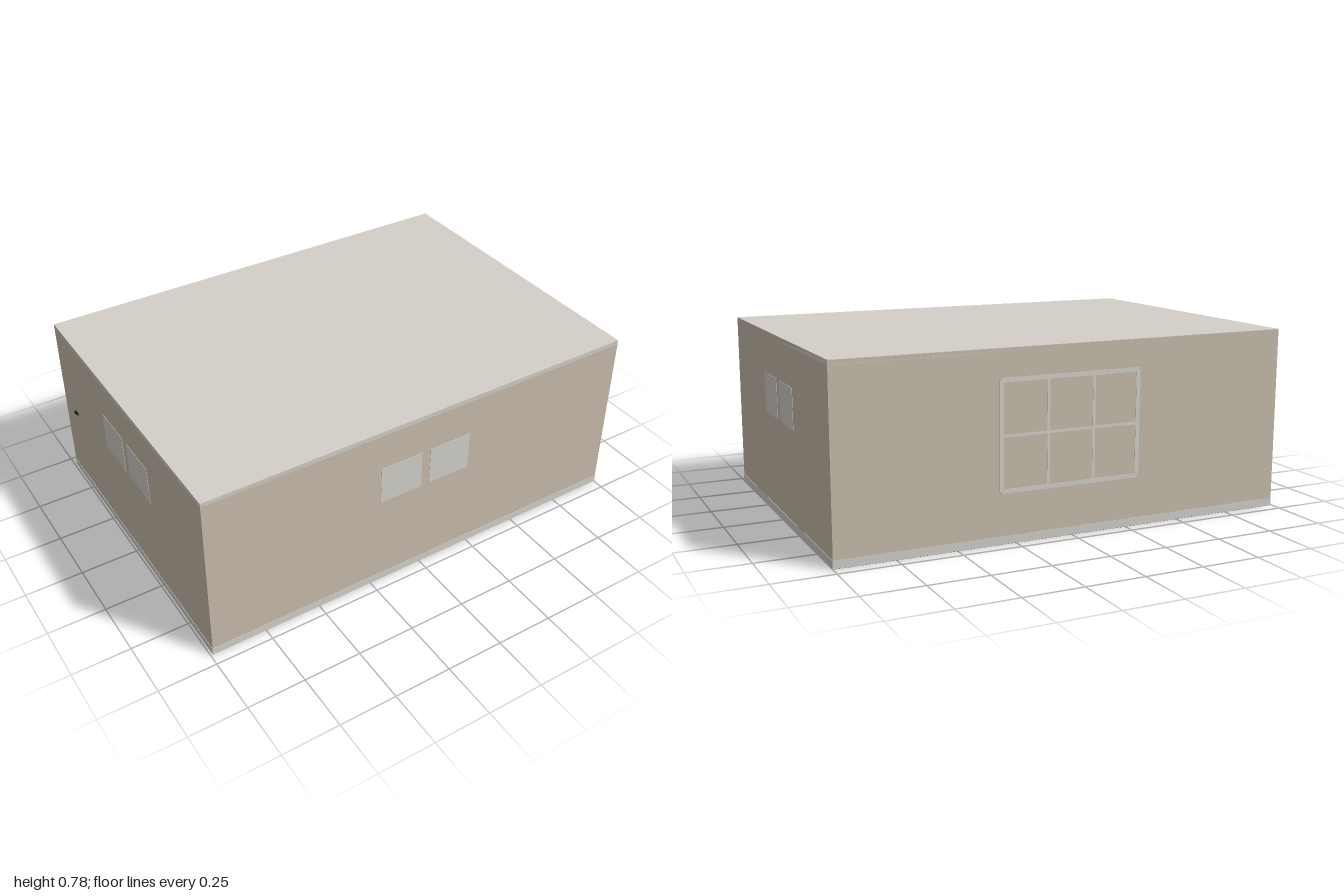
import * as THREE from 'three';

const W = 1.99, D = 1.4, H = 0.78, CX = 0.005; // outer size of the room
const T = 0.02, E = 0.0015;                    // wall thickness, surface offset

const mat = (color) => new THREE.MeshStandardMaterial({ color });
const wallMat = mat(0xc9beae), ceilingMat = mat(0xd4cfc8), trimMat = mat(0xd4d2cc);
const floorMat = mat(0x4a3524), darkMat = mat(0x1c1a18), greyMat = mat(0x5f564d), redMat = mat(0x5a2018);

function add(parent, name, geometry, material, x, y, z) {
  const mesh = new THREE.Mesh(geometry, material);
  mesh.name = name;
  mesh.position.set(x, y, z);
  parent.add(mesh);
  return mesh;
}
const box = (parent, name, material, w, h, d, x, y, z) =>
  add(parent, name, new THREE.BoxGeometry(w, h, d), material, x, y, z);

// One wall in its own frame: outer face at z = 0 facing +z
function makeWall(name, width) {
  const wall = new THREE.Group();
  wall.name = name;
  box(wall, name + 'Panel', wallMat, width, H - 0.004, T, 0, H / 2, -T / 2);
  box(wall, 'baseboard', trimMat, width, 0.033, T, 0, 0.0185, -T / 2 + E);
  return wall;
}

// Two square panes side by side
function addPanes(wall, offset) {
  for (const s of [-1, 1])
    box(wall, 'windowPane', trimMat, 0.195, 0.172, T, s * 0.118 + offset, 0.513, -T / 2 + E);
}

// Framed window with three columns and two rows
function addWindowFrame(wall, offset) {
  const w = 0.61, y0 = 0.215, y1 = 0.655, h = y1 - y0;
  for (let i = 0; i < 4; i++) {
    const outer = i === 0 || i === 3;
    box(wall, 'windowUpright', trimMat, outer ? 0.018 : 0.011, h, T,
      offset + (i / 3 - 0.5) * w, (y0 + y1) / 2, -T / 2 + E);
  }
  for (let i = 0; i < 3; i++)
    box(wall, 'windowRail', trimMat, w, i === 1 ? 0.011 : 0.018, T, offset, y0 + i * h / 2, -T / 2 + E * 1.2);
}

export function createModel() {
  const room = new THREE.Group();
  room.name = 'room';

  // Walls
  const sides = [
    ['frontWall', W, 0, CX, D / 2],
    ['leftWall', D, Math.PI / 2, CX + W / 2, 0],
    ['backWall', W, Math.PI, CX, -D / 2],
    ['rightWall', D, -Math.PI / 2, CX - W / 2, 0],
  ];
  for (const [name, width, angle, x, z] of sides) {
    const wall = makeWall(name, width);
    wall.position.set(x, 0, z);
    wall.rotation.y = angle;
    if (name === 'backWall') addWindowFrame(wall, -0.005);
    else addPanes(wall, 0);
    room.add(wall);
  }

  // Ceiling and floor
  box(room, 'ceiling', ceilingMat, W, T, D, CX, H - T / 2, 0);
  box(room, 'floor', floorMat, W, T, D, CX, T / 2 + 0.001, 0);

  // Door knob showing through the right wall
  const knob = add(room, 'doorKnob', new THREE.SphereGeometry(0.025, 20, 12), darkMat, -0.975, 0.383, -0.57);
  knob.scale.y = 0.4;

  // Furniture feet showing under the floor
  const foot = (name, material, w, d, x, z) => box(room, name, material, w, 0.01, d, x, 0.005, z);
  foot('tableBase', greyMat, 0.3, 0.13, -0.14, -0.04);
  foot('benchBase', greyMat, 0.18, 0.18, 0.2, -0.28);
  const disc = (name, material, r, x, z) =>
    add(room, name, new THREE.CylinderGeometry(r, r, 0.01, 24), material, x, 0.005, z);
  disc('binBase', darkMat, 0.045, -0.63, -0.55);
  disc('lampBase', trimMat, 0.035, -0.88, -0.575);
  disc('stoolBase', redMat, 0.04, 0.5, -0.54);

  return room;
}
